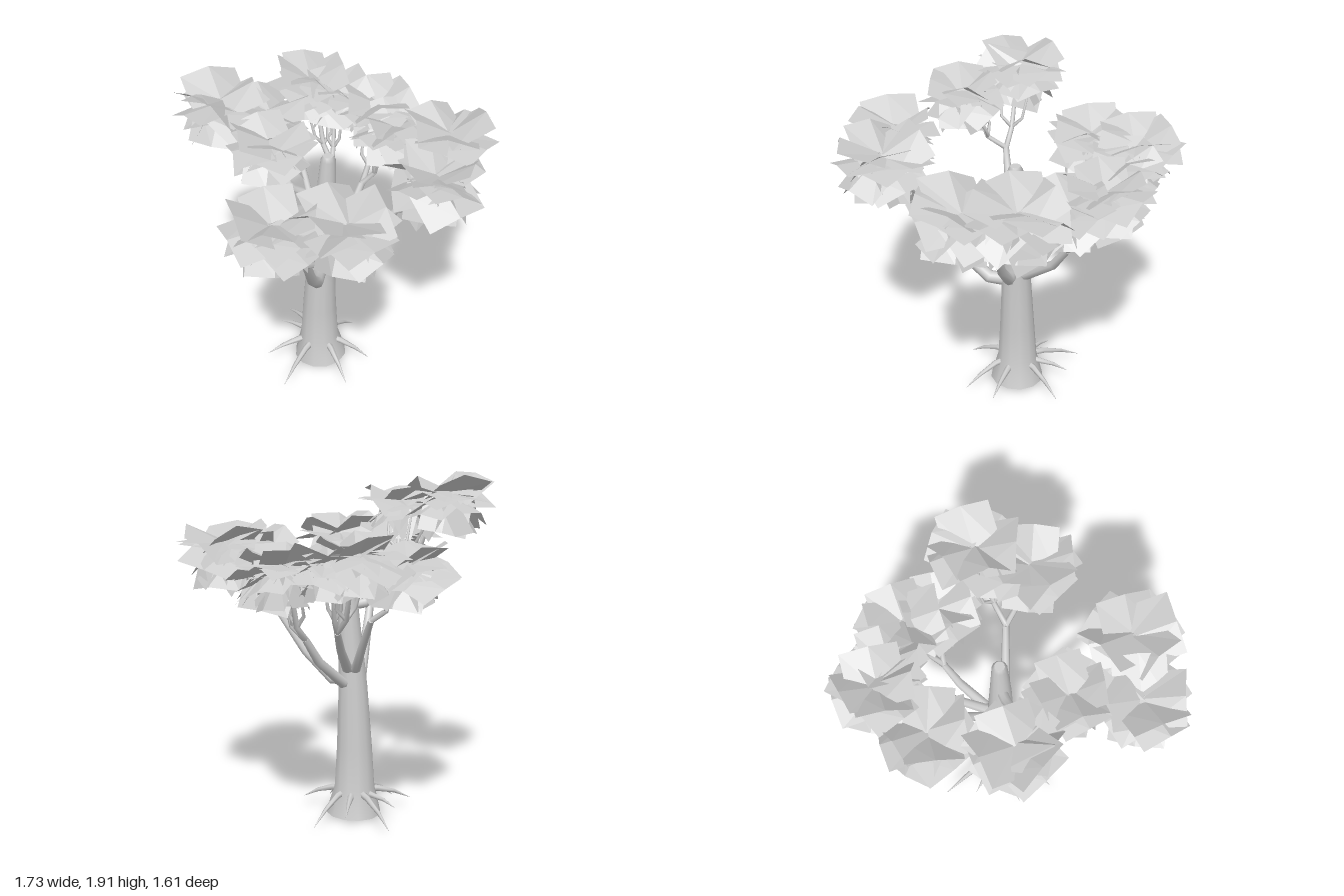
import * as THREE from 'three';

const grey = new THREE.MeshStandardMaterial({ color: 0xcccccc, side: THREE.DoubleSide });
grey.name = 'plain grey';

// Small seeded random source
let seed = 7;
const rand = (a, b) => {
  seed = (seed * 16807) % 2147483647;
  return a + (b - a) * (seed / 2147483647);
};

const V = (p) => new THREE.Vector3(...p);

function addMesh(parent, geometry, name) {
  const mesh = new THREE.Mesh(geometry, grey);
  mesh.name = name;
  parent.add(mesh);
}

// Tapered tube through points, one radius per point, open at the start and capped at the end
function limb(path, radii, sides = 8) {
  const pts = path.map(V), pos = [], idx = [];
  let normal = null;
  pts.forEach((p, i) => {
    const before = pts[Math.max(i - 1, 0)], after = pts[Math.min(i + 1, pts.length - 1)];
    const t = p.clone().sub(before).normalize().add(after.clone().sub(p).normalize()).normalize();
    if (!normal) normal = Math.abs(t.y) > 0.8 ? new THREE.Vector3(1, 0, 0) : new THREE.Vector3(0, 1, 0);
    normal.addScaledVector(t, -normal.dot(t)).normalize();
    const side = t.clone().cross(normal);
    for (let k = 0; k < sides; k++) {
      const a = (k / sides) * Math.PI * 2;
      const q = p.clone().addScaledVector(normal, Math.cos(a) * radii[i]).addScaledVector(side, Math.sin(a) * radii[i]);
      pos.push(q.x, q.y, q.z);
      if (i > 0) {
        const a0 = (i - 1) * sides + k, b0 = (i - 1) * sides + (k + 1) % sides;
        idx.push(a0, b0, a0 + sides, b0, b0 + sides, a0 + sides);
      }
    }
  });
  // End cap with its own vertices so the rim stays sharp
  const start = pos.length / 3;
  pos.push(...pos.slice(-sides * 3));
  for (let k = 1; k < sides - 1; k++) idx.push(start, start + k, start + k + 1);
  const g = new THREE.BufferGeometry();
  g.setAttribute('position', new THREE.Float32BufferAttribute(pos, 3));
  g.setIndex(idx);
  g.computeVertexNormals();
  return g;
}

// Ball of broad leaf sheets spreading from one point, each folded along its middle
function leafCluster(center, radius, count) {
  const pos = [];
  for (let i = 0; i < count; i++) {
    const azimuth = (i * 0.5698 + rand(0, 0.08)) * Math.PI * 2;
    const lift = -0.95 + 1.9 * ((i * 0.7549) % 1);
    const turn = new THREE.Quaternion().setFromEuler(new THREE.Euler(rand(-0.4, 0.4), azimuth, lift, 'YZX'));
    const len = radius * rand(0.85, 0.95), w = radius * rand(0.5, 0.62), fold = radius * rand(0.04, 0.16);
    const root = radius * rand(-0.1, 0.1);
    const sheet = [
      [root, 0, -w], [root, fold, 0], [root, 0, w],
      [len * 0.95, -fold, -w], [len, fold * 0.5, 0], [len * 0.95, -fold, w],
    ].map((p) => V(p).applyQuaternion(turn).add(V(center)));
    for (const k of [0, 1, 3, 1, 4, 3, 1, 2, 4, 2, 5, 4]) pos.push(sheet[k].x, sheet[k].y, sheet[k].z);
  }
  const g = new THREE.BufferGeometry();
  g.setAttribute('position', new THREE.Float32BufferAttribute(pos, 3));
  g.computeVertexNormals();
  return g;
}

// Each bough: path from the trunk to its fork, then leaf centres with radius
const boughs = [
  { // front right
    path: [[0.02, 0.7, -0.03], [-0.08, 0.7, 0.04], [-0.22, 0.86, 0.15], [-0.37, 1.12, 0.26]], r: 0.038,
    leaves: [[-0.61, 1.49, 0.29, 0.26], [-0.36, 1.49, 0.53, 0.27]],
  },
  { // front left
    path: [[0.06, 0.78, -0.03], [0.11, 0.78, 0.05], [0.2, 0.93, 0.17], [0.29, 1.14, 0.28]], r: 0.032,
    leaves: [[0.31, 1.45, 0.52, 0.27], [0.58, 1.52, 0.37, 0.27]],
  },
  { // left
    path: [[0.05, 0.78, -0.06], [0.13, 0.78, -0.06], [0.32, 0.93, -0.09], [0.42, 1.07, -0.1]], r: 0.032,
    leaves: [[0.54, 1.42, 0.01, 0.24], [0.61, 1.46, -0.17, 0.25]],
  },
  { // back left
    path: [[0.06, 0.85, -0.05], [0.13, 0.87, -0.1], [0.26, 1.0, -0.2], [0.37, 1.13, -0.3]], r: 0.03,
    leaves: [[0.5, 1.5, -0.4, 0.22], [0.44, 1.54, -0.54, 0.25]],
  },
  { // back
    path: [[0.06, 0.85, -0.05], [0.1, 0.87, -0.14], [0.15, 1.02, -0.25], [0.2, 1.18, -0.37]], r: 0.028,
    leaves: [[0.11, 1.46, -0.54, 0.26]],
  },
  { // back right
    path: [[0.06, 1.2, -0.04], [-0.02, 1.21, -0.08], [-0.11, 1.29, -0.12], [-0.18, 1.42, -0.16]], r: 0.028,
    leaves: [[-0.345, 1.78, -0.39, 0.25], [-0.36, 1.72, 0.0, 0.23]],
  },
];

export function createModel() {
  const tree = new THREE.Group();
  tree.name = 'tree';

  // Leaning, tapering trunk with a flared foot
  addMesh(tree, limb(
    [[0.05, 0.015, -0.062], [0.047, 0.17, -0.068], [0.045, 0.4, -0.065], [0.047, 0.75, -0.055], [0.058, 1.1, -0.035], [0.07, 1.43, -0.025], [0.07, 1.455, -0.025]],
    [0.155, 0.114, 0.1, 0.081, 0.063, 0.042, 0.028], 12), 'trunk');

  // Pointed surface roots arching down from the foot
  const roots = new THREE.Group();
  roots.name = 'roots';
  tree.add(roots);
  const tips = [[0.37, 0.01, -0.1], [0.18, 0.06, 0.22], [-0.04, 0.01, 0.25], [-0.31, 0.01, 0.0],
    [-0.24, 0.07, -0.22], [0.0, 0.1, -0.35], [0.15, 0.04, -0.46], [0.28, 0.09, -0.26]];
  for (const [x, y, z] of tips) {
    const at = (t, h) => [0.05 + (x - 0.05) * t, h, -0.065 + (z + 0.065) * t];
    addMesh(roots, limb([at(0.2, 0.15), at(0.42, 0.14), at(0.72, 0.08 + y * 0.5), at(1, y)],
      [0.02, 0.018, 0.011, 0.001], 6), 'root');
  }

  // Boughs, forking twigs and foliage
  for (const { path, r, leaves } of boughs) {
    const bough = new THREE.Group();
    bough.name = 'bough';
    tree.add(bough);
    addMesh(bough, limb(path, [r, r, r * 0.8, r * 0.6]), 'branch');
    const fork = path[3];
    for (const [x, y, z, radius] of leaves) {
      const at = (t, h) => [fork[0] + (x - fork[0]) * t, fork[1] + (y - fork[1]) * h, fork[2] + (z - fork[2]) * t];
      addMesh(bough, limb([fork, at(0.42, 0.2), at(0.62, 0.6), at(1, 1)],
        [r * 0.55, r * 0.5, r * 0.38, 0.005], 6), 'twig');
      // Side twigs rising from the bend
      for (const s of [-1, 1]) {
        const bend = at(0.42, 0.2), end = at(0.85, 0.95);
        const dx = -(z - fork[2]) * 0.3 * s, dz = (x - fork[0]) * 0.3 * s;
        addMesh(bough, limb([bend, [bend[0] + dx * 0.7, bend[1] + 0.06, bend[2] + dz * 0.7], [end[0] + dx, end[1], end[2] + dz]],
          [r * 0.4, r * 0.32, 0.004], 5), 'sideTwig');
      }
      addMesh(bough, leafCluster([x, y, z], radius, 15), 'foliage');
    }
  }
  return tree;
}
